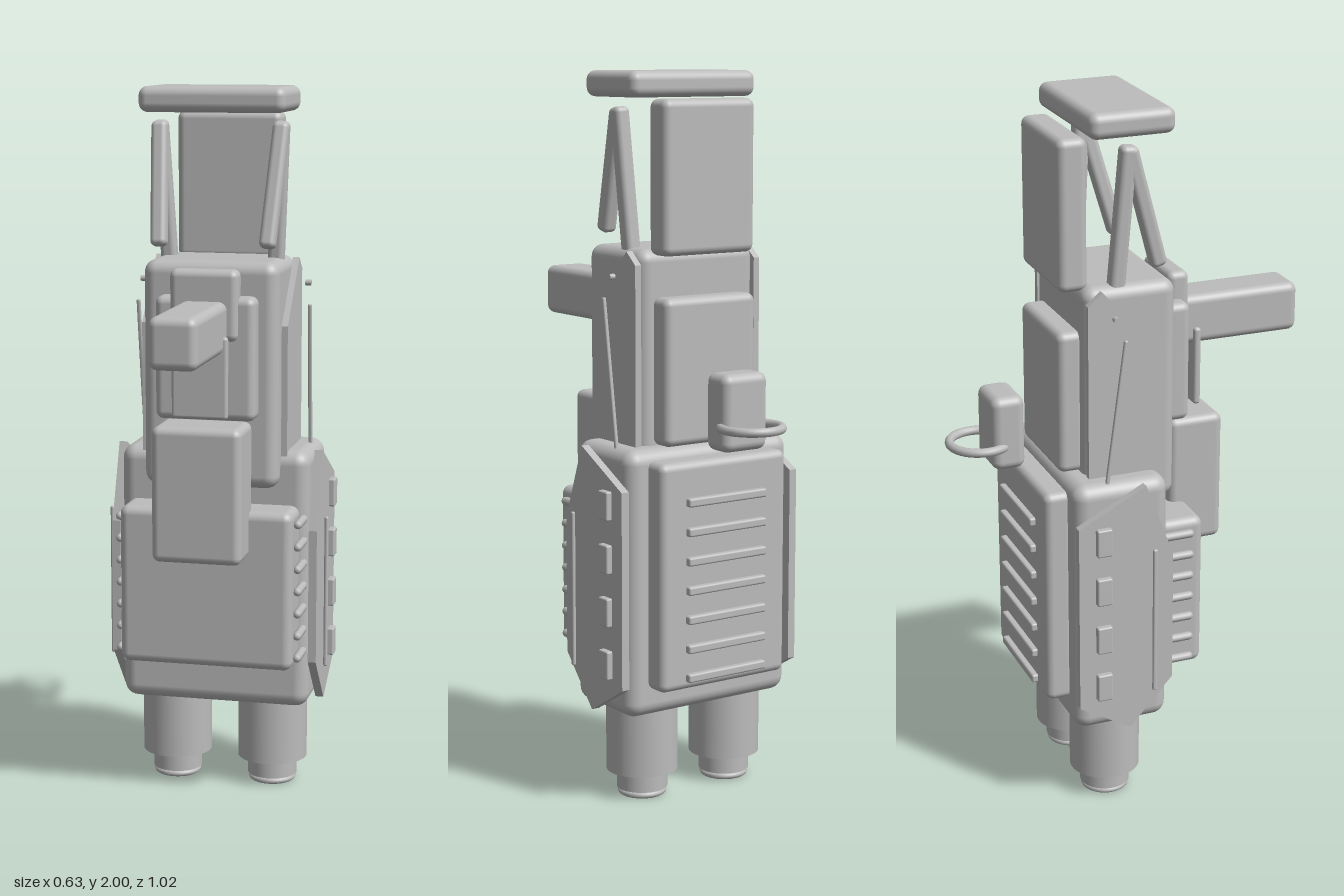
import * as THREE from 'three';
import { RoundedBoxGeometry } from 'three/addons/geometries/RoundedBoxGeometry.js';

const grey = new THREE.MeshStandardMaterial({ color: 0xbcbcbc });
grey.name = 'lightGrey';

export function createModel() {
  const model = new THREE.Group();
  model.name = 'equipmentPack';

  const add = (name, geometry, x = 0, y = 0, z = 0) => {
    const mesh = new THREE.Mesh(geometry, grey);
    mesh.name = name;
    mesh.position.set(x, y, z);
    model.add(mesh);
    return mesh;
  };

  // Rounded block given by its limits on each axis
  const block = (name, [x0, x1], [y0, y1], [z0, z1], r = 0.025) => {
    const w = x1 - x0, h = y1 - y0, d = z1 - z0;
    const radius = Math.min(r, w * 0.45, h * 0.45, d * 0.45);
    return add(name, new RoundedBoxGeometry(w, h, d, 4, radius), (x0 + x1) / 2, (y0 + y1) / 2, (z0 + z1) / 2);
  };

  // Turn a mesh's long (y) axis from one point to another
  const aim = (mesh, a, b) => {
    mesh.position.copy(a).add(b).multiplyScalar(0.5);
    mesh.quaternion.setFromUnitVectors(new THREE.Vector3(0, 1, 0), b.clone().sub(a).normalize());
  };
  const v = (x, y, z) => new THREE.Vector3(x, y, z);

  // Flat side plate from [z, y] points, thickness running along x
  const sidePlate = (name, points, [x0, x1]) => {
    const shape = new THREE.Shape(points.map(([z, y]) => new THREE.Vector2(-z, y)));
    const geometry = new THREE.ExtrudeGeometry(shape, { depth: x1 - x0, bevelEnabled: false });
    geometry.rotateY(Math.PI / 2);
    return add(name, geometry, x0, 0, 0);
  };

  // Main bodies
  block('lowerBody', [-0.27, 0.27], [0.26, 1.0], [-0.235, 0.04], 0.04);
  block('upperBody', [-0.19, 0.19], [0.9, 1.53], [-0.175, 0.09], 0.035);
  block('topCap', [-0.205, 0.205], [1.93, 2.0], [-0.16, 0.08], 0.025);

  // Back panels
  block('headPanel', [-0.15, 0.15], [1.513, 1.927], [-0.23, -0.147], 0.022);
  block('upperBackPanel', [-0.15, 0.15], [1.0, 1.402], [-0.236, -0.16], 0.022);
  block('lowerBackPanel', [-0.21, 0.21], [0.34, 0.97], [-0.3, -0.22], 0.022);
  for (let i = 0; i < 7; i++) {
    const y = 0.375 + i * 0.081;
    block('backRib', [-0.13, 0.13], [y - 0.012, y + 0.012], [-0.317, -0.29], 0.006);
  }
  block('hookBlock', [-0.073, 0.073], [1.0, 1.21], [-0.396, -0.302], 0.025);
  const ring = add('hookRing', new THREE.TorusGeometry(0.082, 0.0125, 12, 40), 0, 1.068, -0.413);
  ring.rotation.x = Math.PI / 2;

  // Front panels, projecting arm and the plate linking it to the pouch
  block('lowerFrontPanel', [-0.245, 0.245], [0.4, 0.85], [0.02, 0.153], 0.025);
  block('frontPouch', [-0.125, 0.125], [0.72, 1.097], [0.1, 0.26], 0.022);
  block('upperFrontPanel', [-0.14, 0.14], [1.1, 1.44], [0.08, 0.153], 0.022);
  block('armMount', [-0.095, 0.095], [1.32, 1.515], [0.105, 0.167], 0.02);
  block('arm', [-0.066, 0.066], [1.29, 1.43], [0.14, 0.51], 0.024);
  block('linkPlate', [-0.078, 0.078], [1.115, 1.34], [0.191, 0.212], 0.009);

  for (const s of [-1, 1]) {
    const side = s > 0 ? 'left' : 'right';
    const mirrored = (a, b) => (s > 0 ? [a, b] : [-b, -a]);

    // Leg with a stepped foot and a rounded rim around its sole
    const legPart = (name, r, y0, y1) =>
      add(side + name, new THREE.CylinderGeometry(r, r, y1 - y0, 40), s * 0.142, (y0 + y1) / 2, -0.105);
    legPart('Leg', 0.1, 0.073, 0.3);
    legPart('Foot', 0.071, 0.02, 0.08);
    legPart('Sole', 0.062, 0.008, 0.03);
    const rim = add(side + 'FootRim', new THREE.TorusGeometry(0.059, 0.009, 10, 40), s * 0.142, 0.009, -0.105);
    rim.rotation.x = Math.PI / 2;

    // Slanted struts under the cap
    const struts = [
      [v(s * 0.152, 1.51, -0.073), v(s * 0.172, 1.905, -0.045)],
      [v(s * 0.152, 1.565, 0.05), v(s * 0.172, 1.9, -0.045)],
    ];
    for (const [a, b] of struts) {
      aim(add(side + 'Strut', new RoundedBoxGeometry(0.045, a.distanceTo(b), 0.045, 4, 0.015)), a, b);
    }

    // Small pegs beside the lower front panel
    for (let i = 0; i < 7; i++) {
      const peg = add(side + 'Peg', new THREE.CapsuleGeometry(0.012, 0.08, 4, 10), s * 0.254, 0.43 + i * 0.0635, 0.067);
      peg.rotation.x = Math.PI / 2;
    }

    // Lower side plate with raised pads and a thin strip
    sidePlate(side + 'LowerPlate',
      [[-0.04, 0.995], [0.04, 0.78], [0.04, 0.4], [-0.085, 0.262], [-0.235, 0.35], [-0.235, 0.895]],
      mirrored(0.272, 0.295));
    for (let i = 0; i < 4; i++) {
      const y = 0.41 + i * 0.147;
      block(side + 'Pad', mirrored(0.29, 0.312), [y - 0.04, y + 0.04], [-0.187, -0.143], 0.005);
    }
    block(side + 'LowerStrip', mirrored(0.306, 0.317), [0.375, 0.81], [-0.026, -0.013], 0.005);

    // Upper side plate with its slanted strip and stud
    sidePlate(side + 'UpperPlate',
      [[-0.13, 1.525], [0.03, 1.35], [0.03, 0.98], [-0.172, 0.98], [-0.172, 1.49]],
      mirrored(0.188, 0.207));
    const low = v(s * 0.242, 0.99, -0.133), high = v(s * 0.247, 1.4, -0.08);
    aim(add(side + 'UpperStrip', new RoundedBoxGeometry(0.011, low.distanceTo(high), 0.011, 2, 0.004)), low, high);
    const stud = add(side + 'Stud', new THREE.CylinderGeometry(0.008, 0.008, 0.016, 12), s * 0.238, 1.457, -0.105);
    stud.rotation.z = Math.PI / 2;
  }

  return model;
}
